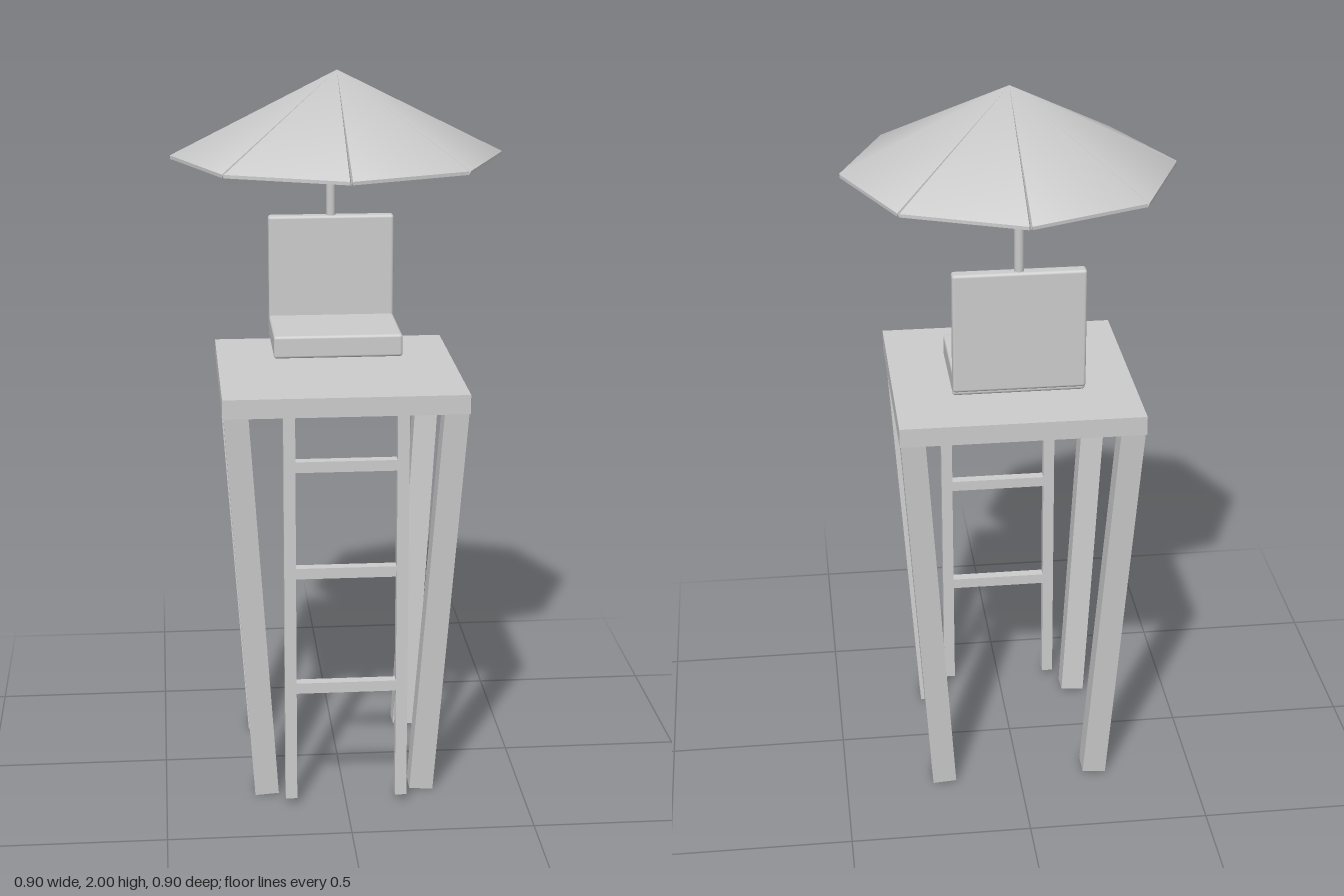
import * as THREE from 'three';
import { RoundedBoxGeometry } from 'three/addons/geometries/RoundedBoxGeometry.js';

const grey = new THREE.MeshStandardMaterial({ color: 0xcccccc, side: THREE.DoubleSide });
grey.name = 'light grey';

function add(parent, name, geometry, x = 0, y = 0, z = 0) {
  const mesh = new THREE.Mesh(geometry, grey);
  mesh.name = name;
  mesh.position.set(x, y, z);
  parent.add(mesh);
  return mesh;
}

// Box given by its low and high limits on each axis
function block(parent, name, [x0, x1], [y0, y1], [z0, z1], round = 0) {
  const size = [x1 - x0, y1 - y0, z1 - z0];
  const geometry = round ? new RoundedBoxGeometry(...size, 2, round) : new THREE.BoxGeometry(...size);
  return add(parent, name, geometry, (x0 + x1) / 2, (y0 + y1) / 2, (z0 + z1) / 2);
}

// Square leg splayed outwards towards the top, with its foot cut square to the lean
function splayedLeg(sx, sz) {
  const geometry = new THREE.BoxGeometry(0.066, 1.13, 0.066);
  const p = geometry.attributes.position;
  for (let i = 0; i < p.count; i++) {
    const x = p.getX(i), z = p.getZ(i), top = p.getY(i) > 0;
    const centre = top ? 0.294 : 0.218;
    const y = top ? 1.13 : 0.0045 - 0.068 * (x * sx + z * sz);
    p.setXYZ(i, x + sx * centre, y, z + sz * centre);
  }
  geometry.computeVertexNormals();
  return geometry;
}

// Eight softly shaded panels, joined by narrow sunken folds, with a thin rim
function canopyGeometry() {
  const positions = [], normals = [];
  const apex = new THREE.Vector3(0, 2, 0);
  const up = new THREE.Vector3(0, 1, 0);
  const radius = 0.45, rim = 1.775, fold = 0.008;
  const at = (angle, y, r = radius) => new THREE.Vector3(r * Math.cos(angle), y, r * Math.sin(angle));
  const slope = (angle) => at(angle, 0.8, 0.6).normalize();
  const tri = (a, b, c, n) => {
    const flat = b.clone().sub(a).cross(c.clone().sub(a)).normalize();
    [a, b, c].forEach((v, i) => {
      positions.push(...v.toArray());
      normals.push(...(n ? n[i] : flat).toArray());
    });
  };
  for (let i = 0; i < 8; i++) {
    const start = (i * Math.PI) / 4, end = start + Math.PI / 4;
    const a = at(start + fold, rim), b = at(end - fold, rim);
    const previous = at(start - fold, rim), valley = at(start, rim - 0.012, radius - 0.004);
    tri(apex, b, a, [up, slope(end), slope(start)]);
    tri(apex, a, valley);
    tri(apex, valley, previous);
    const aLow = a.clone().setY(rim - 0.009), bLow = b.clone().setY(rim - 0.009);
    tri(b, bLow, aLow);
    tri(b, aLow, a);
  }
  const geometry = new THREE.BufferGeometry();
  geometry.setAttribute('position', new THREE.Float32BufferAttribute(positions, 3));
  geometry.setAttribute('normal', new THREE.Float32BufferAttribute(normals, 3));
  return geometry;
}

export function createModel() {
  const model = new THREE.Group();
  model.name = 'lifeguardChair';

  // Platform and its four legs
  const stand = new THREE.Group();
  stand.name = 'stand';
  model.add(stand);
  block(stand, 'platform', [-0.33, 0.33], [1.127, 1.18], [-0.33, 0.33]);
  for (const sx of [-1, 1]) {
    for (const sz of [-1, 1]) {
      add(stand, (sz > 0 ? 'front' : 'back') + (sx > 0 ? 'Left' : 'Right') + 'Leg', splayedLeg(sx, sz));
    }
  }

  // Ladder at the front
  const ladder = new THREE.Group();
  ladder.name = 'ladder';
  model.add(ladder);
  block(ladder, 'rightRail', [-0.169, -0.137], [0.018, 1.13], [0.284, 0.316]);
  block(ladder, 'leftRail', [0.137, 0.169], [0.018, 1.13], [0.284, 0.316]);
  for (const y of [0.348, 0.683, 0.985]) {
    block(ladder, 'rung', [-0.137, 0.137], [y - 0.015, y + 0.015], [0.285, 0.315]);
  }

  // Cushioned seat hovering just above the platform
  const chair = new THREE.Group();
  chair.name = 'chair';
  model.add(chair);
  block(chair, 'seat', [-0.178, 0.178], [1.217, 1.28], [-0.218, 0.055], 0.008);
  block(chair, 'backrest', [-0.178, 0.178], [1.232, 1.566], [-0.233, -0.195], 0.008);

  // Umbrella
  const umbrella = new THREE.Group();
  umbrella.name = 'umbrella';
  model.add(umbrella);
  add(umbrella, 'pole', new THREE.CylinderGeometry(0.013, 0.013, 0.34, 12), 0, 1.715, -0.213);
  add(umbrella, 'canopy', canopyGeometry());

  return model;
}
